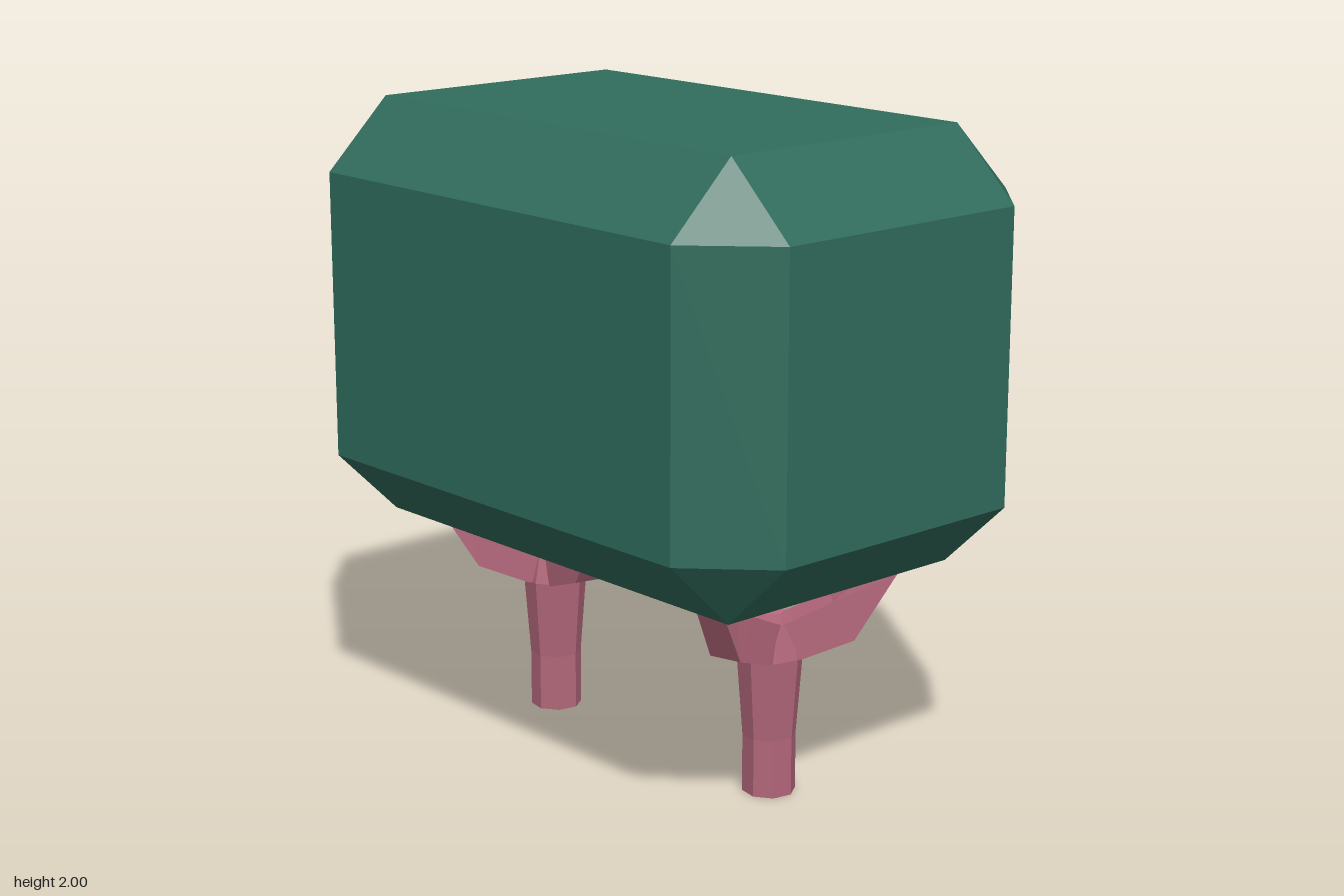
import * as THREE from 'three';
import { ConvexGeometry } from 'three/addons/geometries/ConvexGeometry.js';

const foliage = new THREE.MeshStandardMaterial({ color: 0x306c5c, flatShading: true });
foliage.name = 'foliage green';
const bark = new THREE.MeshStandardMaterial({ color: 0xb3677b, flatShading: true });
bark.name = 'bark pink';

// Box with every edge and corner bevelled
function chamferedBox(outer, inner) {
  const points = [];
  for (const sx of [-1, 1]) for (const sy of [-1, 1]) for (const sz of [-1, 1]) {
    for (let axis = 0; axis < 3; axis++) {
      const p = inner.map((v, i) => (i === axis ? outer[i] : v));
      points.push(new THREE.Vector3(p[0] * sx, p[1] * sy, p[2] * sz));
    }
  }
  return new ConvexGeometry(points);
}

// Four-sided bent branch, growing along +x; each section is
// [outer radius, outer y, inner radius, inner y, half width]
function branchGeometry(reach) {
  const sections = [
    [0.02, 0.42, 0.02, 0.535, 0.06],
    [0.09, 0.43, 0.06, 0.55, 0.058],
    [0.245, 0.485, 0.18, 0.605, 0.052],
    [reach + 0.045, 0.69, reach - 0.045, 0.69, 0.046],
    [reach + 0.07, 0.76, reach - 0.01, 0.76, 0.044],
  ];
  const positions = [];
  const index = [];
  for (const [ro, yo, ri, yi, w] of sections) {
    positions.push(ro, yo, -w, ro, yo, w, ri, yi, w, ri, yi, -w);
  }
  for (let s = 0; s < sections.length - 1; s++) {
    for (let k = 0; k < 4; k++) {
      const a = s * 4 + k, b = s * 4 + (k + 1) % 4;
      index.push(a, a + 4, b, b, a + 4, b + 4);
    }
  }
  const geometry = new THREE.BufferGeometry();
  geometry.setAttribute('position', new THREE.Float32BufferAttribute(positions, 3));
  geometry.setIndex(index);
  geometry.computeVertexNormals();
  return geometry;
}

// Octagonal trunk with three branches; angles are degrees from +x towards +z
function createTree(name, z, branches) {
  const tree = new THREE.Group();
  tree.name = name;
  tree.position.set(-0.01, 0, z);
  const profile = [[0, 0], [0.081, 0], [0.081, 0.18], [0.1, 0.43], [0.075, 0.54], [0, 0.54]]
    .map(([r, y]) => new THREE.Vector2(r, y));
  const trunk = new THREE.Mesh(new THREE.LatheGeometry(profile, 8, 0.2), bark);
  trunk.name = 'trunk';
  tree.add(trunk);
  for (const [angle, reach] of branches) {
    const branch = new THREE.Mesh(branchGeometry(reach), bark);
    branch.name = 'branch';
    branch.rotation.y = -THREE.MathUtils.degToRad(angle);
    tree.add(branch);
  }
  return tree;
}

export function createModel() {
  const model = new THREE.Group();
  model.name = 'blockTree';

  // Shared canopy
  const canopy = new THREE.Mesh(chamferedBox([0.66, 0.655, 0.992], [0.443, 0.443, 0.767]), foliage);
  canopy.name = 'canopy';
  canopy.position.y = 1.345;
  model.add(canopy);

  // Front and back supports
  model.add(createTree('frontTrunk', 0.49, [[40, 0.325], [-62, 0.305], [166, 0.305]]));
  model.add(createTree('backTrunk', -0.505, [[10, 0.28], [103, 0.33], [-141, 0.33]]));
  return model;
}
